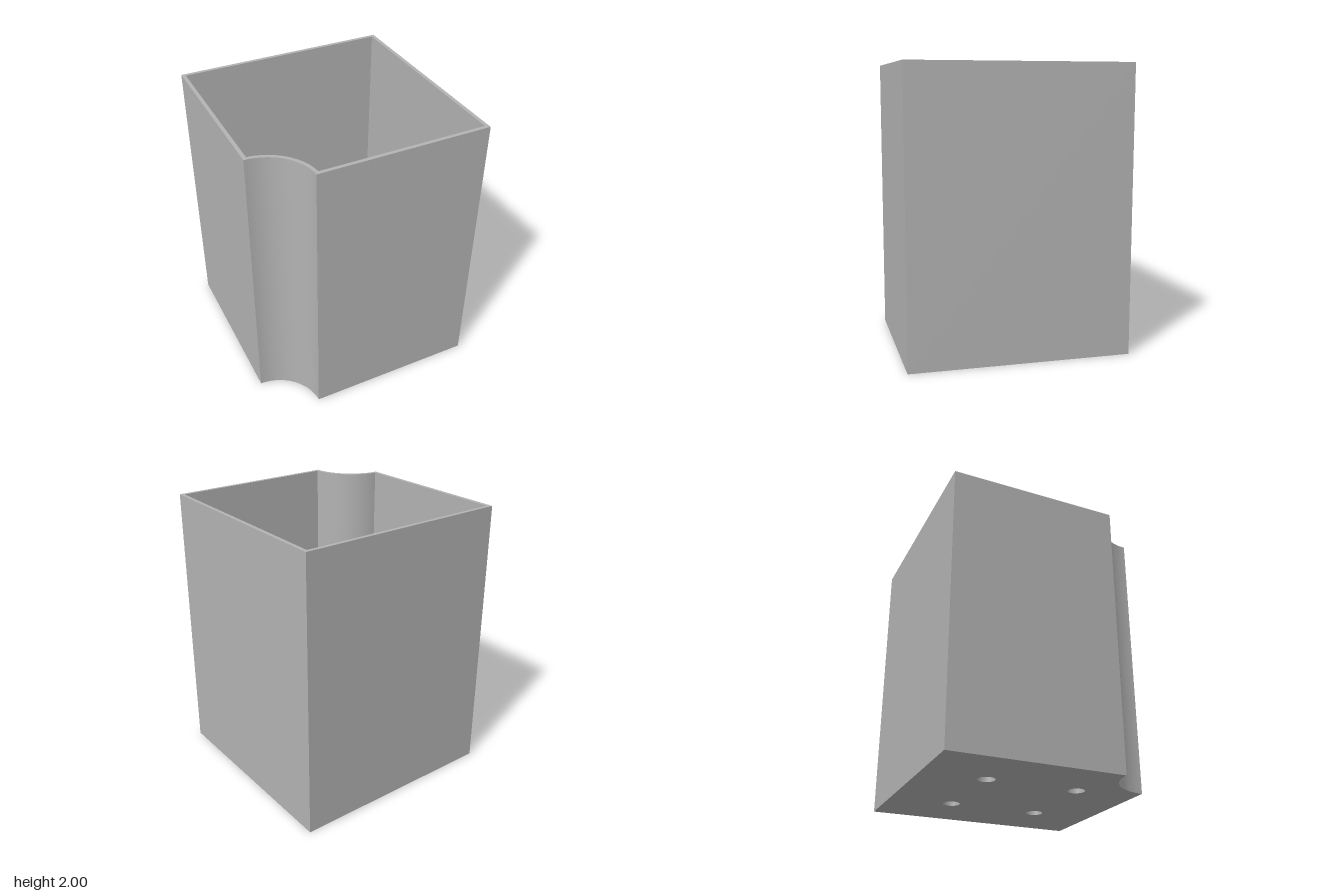
import * as THREE from 'three';
import { toCreasedNormals } from 'three/addons/utils/BufferGeometryUtils.js';

const HALF = 0.772;        // half width of the square plan
const HEIGHT = 2;
const WALL = 0.026;
const NOTCH = 0.325;       // radius of the scooped corner
const FLOOR = 0.06;
const POCKET = { radius: 0.06, depth: 0.035, offset: 0.327 };

// Plan outline (x, -z), anticlockwise from above, inset by t
function outline(t) {
  const h = HALF - t, r = NOTCH + t, a = Math.asin(t / r), steps = 32;
  const points = [new THREE.Vector2(h, -h), new THREE.Vector2(h, h), new THREE.Vector2(-h, h)];
  for (let i = 0; i <= steps; i++) {
    const angle = THREE.MathUtils.lerp(Math.PI / 2 - a, a, i / steps);
    points.push(new THREE.Vector2(-HALF + r * Math.cos(angle), -HALF + r * Math.sin(angle)));
  }
  return points;
}

function circle(cx, cy, r) {
  return Array.from({ length: 32 }, (_, i) => {
    const a = (i / 32) * Math.PI * 2;
    return new THREE.Vector2(cx + r * Math.cos(a), cy + r * Math.sin(a));
  });
}

// Vertical band following a closed outline, facing outward or inward
function band(points, y0, y1, inward = false) {
  const loop = inward ? [...points].reverse() : points;
  const position = [], index = [], n = loop.length;
  loop.forEach((p, i) => {
    position.push(p.x, y0, -p.y, p.x, y1, -p.y);
    const a = 2 * i, b = 2 * ((i + 1) % n);
    index.push(a, b, b + 1, a, b + 1, a + 1);
  });
  const geometry = new THREE.BufferGeometry();
  geometry.setAttribute('position', new THREE.Float32BufferAttribute(position, 3));
  geometry.setIndex(index);
  return toCreasedNormals(geometry, Math.PI / 6);
}

// Horizontal face, optionally pierced, facing up or down
function cap(points, holes, y, down = false) {
  const shape = new THREE.Shape(points);
  holes.forEach((hole) => shape.holes.push(new THREE.Path(hole)));
  const geometry = new THREE.ShapeGeometry(shape);
  geometry.rotateX(-Math.PI / 2).translate(0, y, 0);
  if (down) geometry.index.array.reverse();
  geometry.computeVertexNormals();
  return geometry;
}

export function createModel() {
  const group = new THREE.Group();
  group.name = 'notchedBin';
  const grey = new THREE.MeshStandardMaterial({ color: 0xb3b3b3 });
  grey.name = 'grey';

  const add = (name, geometry) => {
    const mesh = new THREE.Mesh(geometry, grey);
    mesh.name = name;
    group.add(mesh);
  };

  const outer = outline(0), inner = outline(WALL);
  const pockets = [];
  for (const sx of [-1, 1]) {
    for (const sy of [-1, 1]) pockets.push(circle(sx * POCKET.offset, sy * POCKET.offset, POCKET.radius));
  }

  // Open-topped shell
  add('outerWall', band(outer, 0, HEIGHT));
  add('innerWall', band(inner, FLOOR, HEIGHT, true));
  add('rim', cap(outer, [inner], HEIGHT));
  add('floor', cap(inner, [], FLOOR));
  add('underside', cap(outer, pockets, 0, true));

  // Shallow blind pockets in the underside
  pockets.forEach((pocket) => {
    add('pocketWall', band(pocket, 0, POCKET.depth, true));
    add('pocketCeiling', cap(pocket, [], POCKET.depth, true));
  });
  return group;
}
